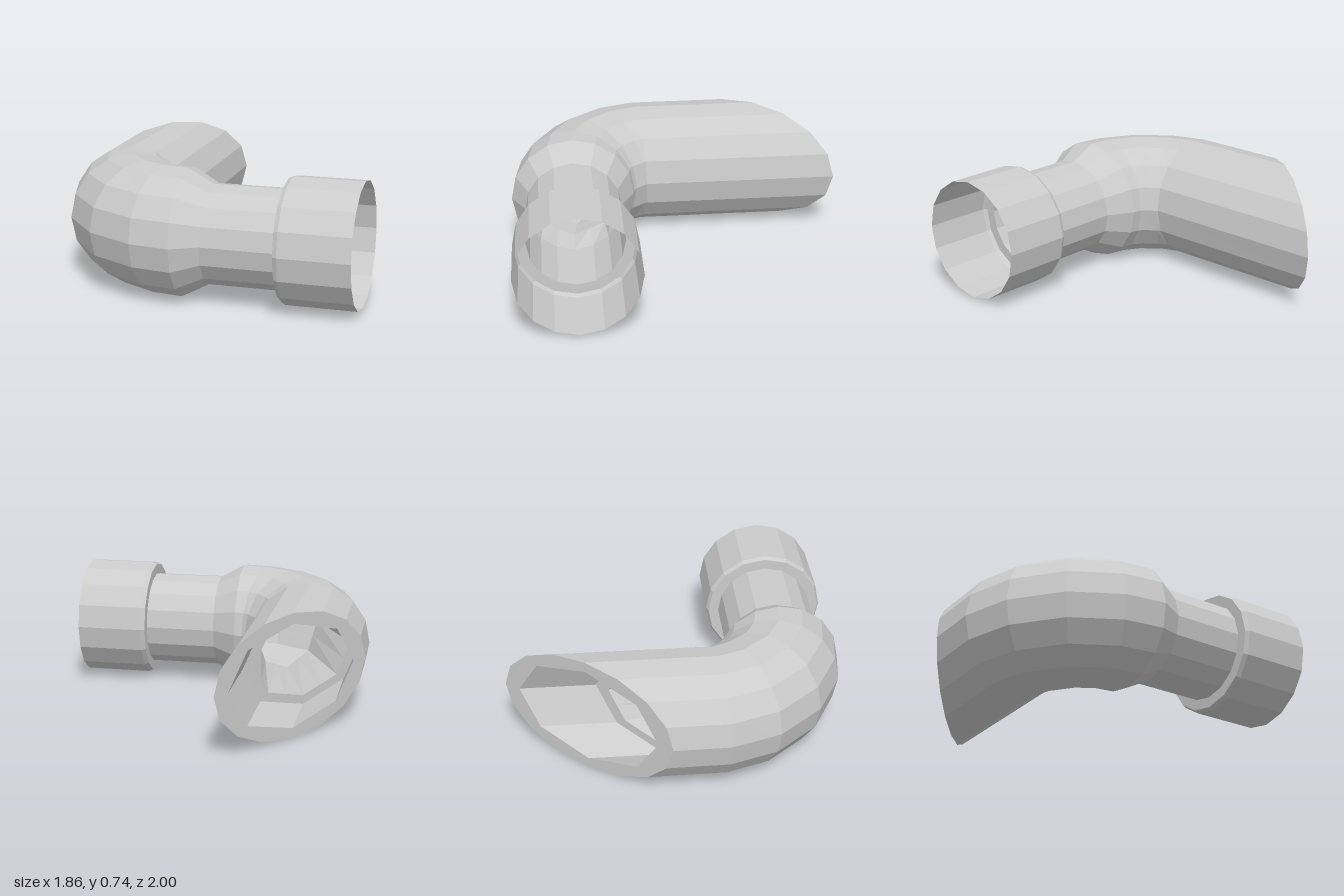
import * as THREE from 'three';

const SIDES = 16;
const AXIS_Y = 0.37;
const material = new THREE.MeshStandardMaterial({ color: 0xcccccc, flatShading: true, side: THREE.DoubleSide });

// A cross-section spanning from its outer to its inner [x, z] point, with vertical radius ry.
// Octagonal sections keep 16 points but lay every second one on a straight side.
function ring(outer, inner, ry, scale = 1, octagon = false) {
  const cx = (outer[0] + inner[0]) / 2, cz = (outer[1] + inner[1]) / 2;
  const hx = (outer[0] - inner[0]) / 2, hz = (outer[1] - inner[1]) / 2;
  return Array.from({ length: SIDES }, (_, i) => {
    const a = (i / SIDES) * Math.PI * 2;
    const s = scale * (octagon && i % 2 ? Math.cos(Math.PI / 8) : 1);
    return [cx + hx * s * Math.cos(a), AXIS_Y + ry * s * Math.sin(a), cz + hz * s * Math.cos(a)];
  });
}

// Round section of the straight branch, square to x
const branch = (x, r) => ring([x, 0.63 + r], [x, 0.63 - r], r);

// Skin a list of cross-sections
function loft(name, rings) {
  const index = [];
  for (let r = 0; r < rings.length - 1; r++) {
    for (let i = 0; i < SIDES; i++) {
      const j = (i + 1) % SIDES;
      const a = r * SIDES + i, b = r * SIDES + j, c = a + SIDES, d = b + SIDES;
      index.push(a, c, b, b, c, d);
    }
  }
  const geometry = new THREE.BufferGeometry();
  geometry.setAttribute('position', new THREE.Float32BufferAttribute(rings.flat(2), 3));
  geometry.setIndex(index);
  geometry.computeVertexNormals();
  const mesh = new THREE.Mesh(geometry, material);
  mesh.name = name;
  return mesh;
}

export function createModel() {
  const group = new THREE.Group();
  group.name = 'pipeElbow';

  const R = 0.37, neckR = 0.288, socketR = 0.363;
  const cutOuter = [-0.93, -0.07], cutInner = [-0.2, -1];
  const cut = ring(cutOuter, cutInner, R);
  const cutBore = ring(cutOuter, cutInner, R, 0.83, true);
  const neckStart = branch(0.07, neckR);

  // Bend sections as [outer point, inner point] in plan
  const bend = [
    [[-0.925, 0.26], [-0.2, 0.17]],
    [[-0.83, 0.55], [-0.19, 0.18]],
    [[-0.61, 0.81], [-0.15, 0.235]],
    [[-0.32, 0.965], [-0.13, 0.25]],
    [[-0.08, 1.0], [-0.08, 0.26]],
  ];

  // Slanted pipe, bend and taper
  group.add(loft('elbow', [cut, ...bend.map(([o, i]) => ring(o, i, R)), neckStart]));

  // Flat rim around the slanted mouth
  group.add(loft('mouthRim', [cutBore, cut]));

  // Inner passage: narrow through the bend, a ledge, then wide to the mouth
  const depth = 0.45;
  const ledge = (s) => ring([cutOuter[0], cutOuter[1] + depth], [cutInner[0], cutInner[1] + depth], R, s, true);
  const passage = bend.slice(2).reverse().map(([o, i]) => ring(o, i, R, 0.72, true));
  group.add(loft('bore', [neckStart, ...passage, ledge(0.68), ledge(0.83), cutBore]));

  // Narrow neck
  const neckEnd = branch(0.5, neckR);
  group.add(loft('neck', [neckStart, neckEnd]));

  // Wider open socket with a small chamfer at its shoulder
  group.add(loft('socket', [neckEnd, branch(0.5, 0.35), branch(0.525, socketR), branch(0.93, socketR)]));

  return group;
}
